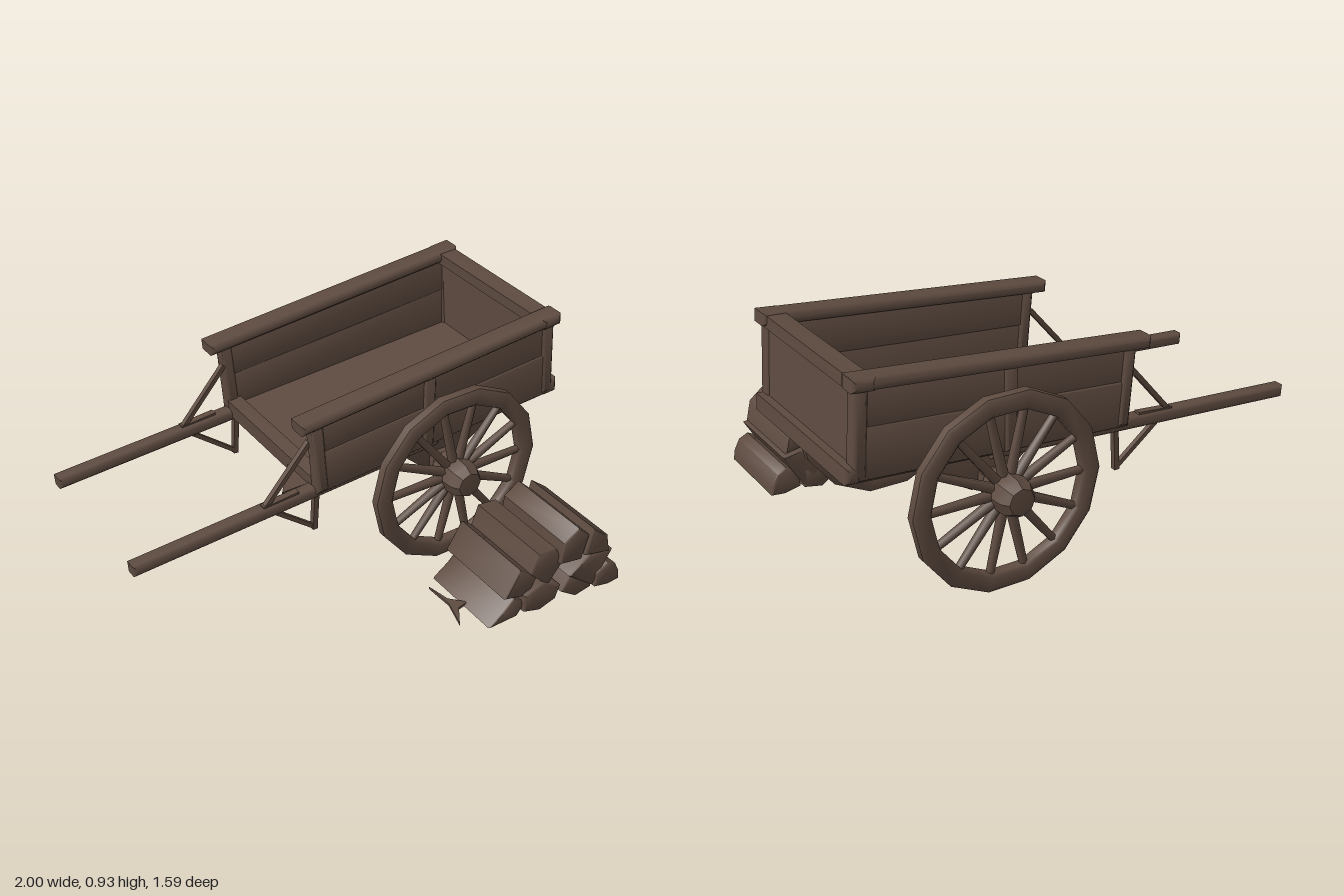
import * as THREE from 'three';
import { toCreasedNormals } from 'three/addons/utils/BufferGeometryUtils.js';

const ZC = -0.224; // middle of the cart across its width

export function createModel() {
  const wood = new THREE.MeshStandardMaterial({ color: 0x5e4b40 });
  wood.name = 'weathered wood';
  const model = new THREE.Group();
  model.name = 'handcart';

  const add = (name, geometry, parent = model) => {
    const mesh = new THREE.Mesh(geometry, wood);
    mesh.name = name;
    parent.add(mesh);
    return mesh;
  };

  // Outline in x, y pulled from z0 to z1, with an optional small bevel
  const prism = (name, pts, z0, z1, bevel = 0, parent = model) => {
    const shape = new THREE.Shape(pts.map(([x, y]) => new THREE.Vector2(x, y)));
    const geo = new THREE.ExtrudeGeometry(shape, {
      depth: z1 - z0 - 2 * bevel, bevelEnabled: bevel > 0, bevelSize: bevel,
      bevelThickness: bevel, bevelOffset: -bevel, bevelSegments: 1,
    });
    geo.translate(0, 0, z0 + bevel);
    return add(name, toCreasedNormals(geo, 0.85), parent);
  };

  // Rectangular beam in the x, y plane from a to b, centred on z
  const beam = (name, a, b, height, z, width, bevel = 0) => {
    const dx = b[0] - a[0], dy = b[1] - a[1], len = Math.hypot(dx, dy);
    const nx = -dy / len * height / 2, ny = dx / len * height / 2;
    return prism(name, [[a[0] - nx, a[1] - ny], [b[0] - nx, b[1] - ny],
      [b[0] + nx, b[1] + ny], [a[0] + nx, a[1] + ny]], z - width / 2, z + width / 2, bevel);
  };

  // Floor, front sill and tailgate
  prism('floor', [[-0.2, 0.452], [0.97, 0.53], [0.97, 0.56], [-0.2, 0.49]], ZC - 0.36, ZC + 0.36);
  prism('frontSill', [[-0.2, 0.455], [-0.14, 0.46], [-0.145, 0.53], [-0.205, 0.525]], ZC - 0.34, ZC + 0.34, 0.012);
  prism('tailgate', [[0.925, 0.55], [0.965, 0.55], [0.945, 0.9], [0.9, 0.9]], ZC - 0.35, ZC + 0.35);
  beam('tailgateRail', [0.92, 0.872], [0.917, 0.922], 0.08, ZC, 0.74, 0.012);
  beam('tailgateSill', [0.97, 0.535], [0.966, 0.602], 0.06, ZC, 0.765, 0.014);

  // Cart sides, rails, shafts and braces, mirrored across the cart
  for (const s of [1, -1]) {
    const at = (off) => ZC + s * off;
    const side = (name, pts, a, b, bevel) =>
      prism(name, pts, Math.min(at(a), at(b)), Math.max(at(a), at(b)), bevel);

    side('lowerSidePlank', [[-0.2, 0.46], [0.965, 0.54], [0.955, 0.74], [-0.215, 0.648]], 0.335, 0.376, 0.006);
    side('upperSidePlank', [[-0.215, 0.638], [0.4, 0.684], [0.955, 0.73], [0.94, 0.9], [-0.23, 0.79]], 0.331, 0.37, 0.006);
    beam('topRail', [-0.28, 0.797], [0.968, 0.909], 0.048, at(0.355), 0.098, 0.014);
    beam('railEndCap', [0.88, 0.9], [0.97, 0.908], 0.05, at(0.361), 0.092, 0.014);
    beam('frontPost', [-0.175, 0.47], [-0.2, 0.79], 0.05, at(0.354), 0.065, 0.012);
    beam('middlePost', [0.33, 0.5], [0.33, 0.84], 0.05, at(0.37), 0.035, 0.008);
    beam('rearPost', [0.945, 0.55], [0.925, 0.9], 0.055, at(0.352), 0.065, 0.012);

    beam('shaft', [-1, 0.411], [0.4, 0.497], 0.05, at(0.333), 0.062, 0.01);
    side('axleBlock', [[0.2, 0.49], [0.35, 0.355], [0.47, 0.355], [0.6, 0.43], [0.665, 0.48], [0.66, 0.515]], 0.212, 0.34, 0.01);

    // Prop leg and thin stays
    beam('propLeg', [-0.175, 0.46], [-0.187, 0.26], 0.022, at(0.322), 0.024);
    beam('propStay', [-0.4, 0.44], [-0.187, 0.27], 0.018, at(0.322), 0.02);
    beam('railStay', [-0.42, 0.465], [-0.215, 0.7], 0.02, at(0.337), 0.022);
    beam('stayFoot', [-0.43, 0.462], [-0.27, 0.476], 0.03, at(0.337), 0.03);
  }

  // Corner plate between one shaft and the sill
  const plate = new THREE.Shape([[-0.32, -0.08], [-0.18, -0.08], [-0.18, 0.1]].map(p => new THREE.Vector2(...p)));
  const plateGeo = new THREE.ExtrudeGeometry(plate, { depth: 0.015, bevelEnabled: false });
  add('cornerPlate', plateGeo.rotateX(-Math.PI / 2).translate(0, 0.462, 0));

  // Axle
  add('axle', new THREE.BoxGeometry(0.08, 0.072, 0.82)).position.set(0.41, 0.394, ZC);

  // Wheels: fourteen-sided rim, faceted hub and tapered spokes
  const lathe = (pts, sides, crease) => toCreasedNormals(new THREE.LatheGeometry(
    pts.map(p => new THREE.Vector2(...p)), sides).rotateX(Math.PI / 2).rotateZ(Math.PI / 2), crease);
  const rimGeo = lathe([[0.384, -0.028], [0.396, -0.018], [0.396, 0.018], [0.384, 0.028],
    [0.334, 0.028], [0.323, 0.018], [0.323, -0.018], [0.334, -0.028], [0.384, -0.028]], 14, 0.85);
  const hubGeo = lathe([[0, -0.09], [0.052, -0.09], [0.074, -0.064], [0.079, 0.01], [0.074, 0.072],
    [0.054, 0.104], [0, 0.108]], 8, 0.6);
  const spokeGeo = new THREE.CylinderGeometry(0.016, 0.021, 0.29, 6).translate(0, 0.195, 0);
  for (const s of [1, -1]) {
    const wheel = new THREE.Group();
    wheel.name = s > 0 ? 'frontSideWheel' : 'backSideWheel';
    wheel.position.set(0.406, s > 0 ? 0.39 : 0.394, ZC + s * 0.467);
    if (s < 0) wheel.rotation.y = Math.PI;
    add('rim', rimGeo, wheel);
    add('hub', hubGeo, wheel);
    for (let i = 0; i < 14; i++) {
      add('spoke', spokeGeo, wheel).rotation.z = Math.PI / 2 + i * Math.PI / 7;
    }
    model.add(wheel);
  }

  // Pile of split logs: cross-section, then near and far end
  const pile = new THREE.Group();
  pile.name = 'logPile';
  model.add(pile);
  const logs = [
    [[[0.22, 0.005], [0.36, 0.005], [0.4, 0.06], [0.34, 0.11], [0.29, 0.06]], 0.37, 0.75],
    [[[0.38, 0.03], [0.46, 0.005], [0.54, 0.03], [0.56, 0.09], [0.47, 0.14], [0.38, 0.11]], 0.37, 0.77],
    [[[0.56, 0.06], [0.64, 0.005], [0.72, 0.02], [0.72, 0.1], [0.6, 0.13]], 0.37, 0.78],
    [[[0.73, 0.02], [0.8, 0.005], [0.86, 0.01], [0.855, 0.05], [0.83, 0.1], [0.79, 0.12], [0.73, 0.09]], 0.39, 0.795],
    [[[0.29, 0.12], [0.41, 0.09], [0.45, 0.17], [0.36, 0.24]], 0.36, 0.75],
    [[[0.41, 0.2], [0.5, 0.11], [0.57, 0.2], [0.53, 0.28], [0.44, 0.29]], 0.36, 0.76],
    [[[0.54, 0.21], [0.65, 0.19], [0.68, 0.3], [0.62, 0.358], [0.55, 0.31]], 0.39, 0.78],
    [[[0.59, 0.13], [0.72, 0.03], [0.81, 0.18], [0.69, 0.2]], 0.37, 0.785],
    [[[0.66, 0.21], [0.79, 0.18], [0.77, 0.27], [0.69, 0.335]], 0.39, 0.79],
  ];
  for (const [pts, z0, z1] of logs) prism('splitLog', pts, z0, z1, 0.006, pile);

  // Splinter lying beside the pile
  const splinter = new THREE.Shape([[0.165, -0.42], [0.185, -0.52], [0.24, -0.58], [0.19, -0.59],
    [0.135, -0.67], [0.17, -0.55]].map(p => new THREE.Vector2(...p)));
  const splinterGeo = new THREE.ExtrudeGeometry(splinter, { depth: 0.012, bevelEnabled: false });
  add('splinter', splinterGeo.rotateX(-Math.PI / 2).translate(0, 0.004, 0), pile);

  return model;
}
